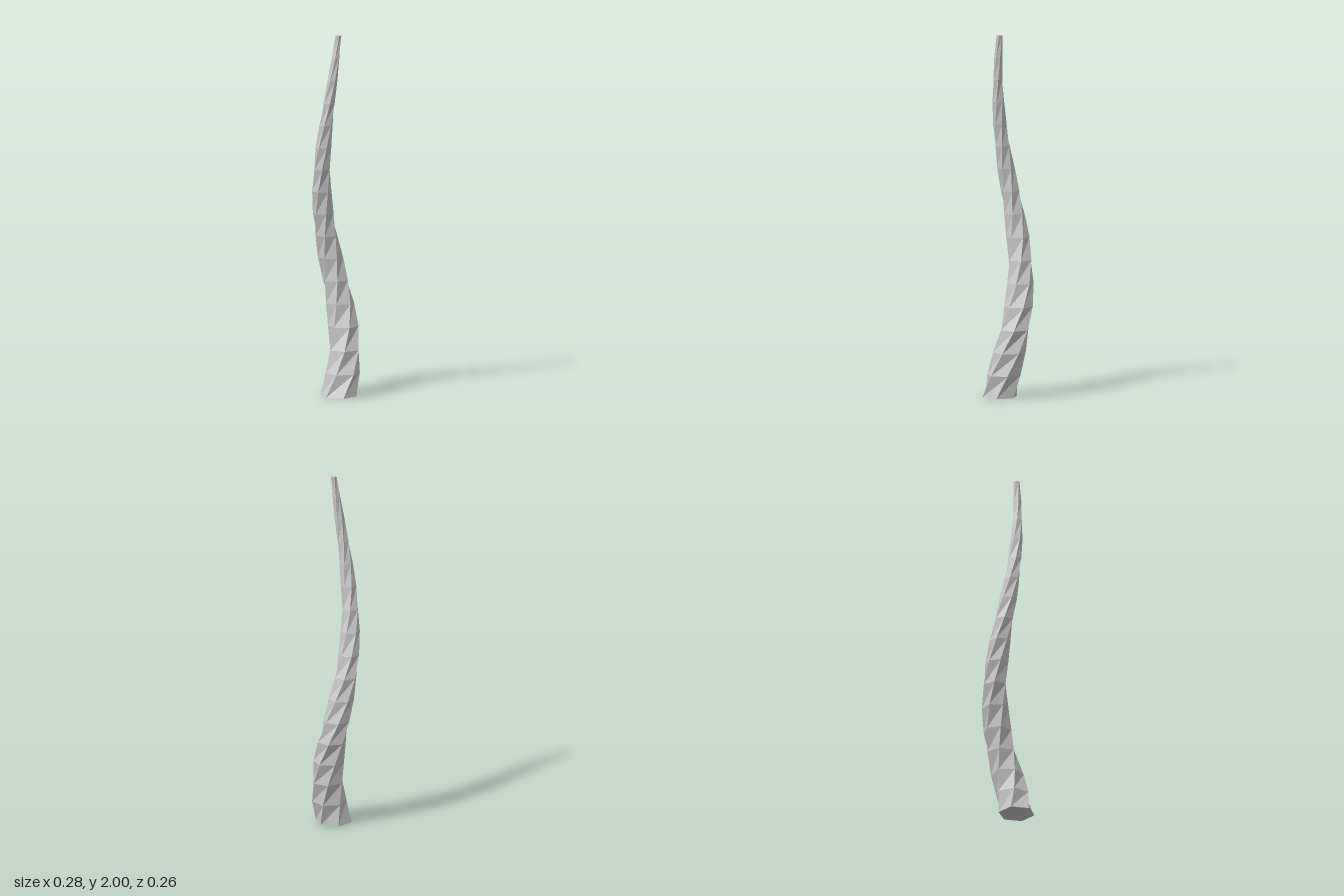
import * as THREE from 'three';

const HEIGHT = 2, SIDES = 6, RINGS = 16;
const BASE_RADIUS = 0.1, TIP_RADIUS = 0.017;
const AXIS_X = -0.01, AXIS_Z = 0.012, COIL_RADIUS = 0.062;

// Centre of the horn at height y: one coil, quicker near the base
function coilCentre(y) {
  const angle = THREE.MathUtils.degToRad(-17 + 242 * y - 31.2 * y * y);
  return new THREE.Vector3(
    AXIS_X + COIL_RADIUS * Math.cos(angle), y, AXIS_Z - COIL_RADIUS * Math.sin(angle));
}

export function createModel() {
  const group = new THREE.Group();
  group.name = 'spiralHorn';

  // Tapered hexagonal column, twisted one full turn and moved onto the coil
  const geometry = new THREE.CylinderGeometry(TIP_RADIUS, BASE_RADIUS, HEIGHT, SIDES, RINGS);
  geometry.translate(0, HEIGHT / 2, 0);
  const up = new THREE.Vector3(0, 1, 0);
  const position = geometry.attributes.position;
  const v = new THREE.Vector3();
  for (let i = 0; i < position.count; i++) {
    v.fromBufferAttribute(position, i);
    const y = v.y;
    v.y = 0;
    v.applyAxisAngle(up, (y / HEIGHT) * Math.PI * 2).add(coilCentre(y));
    position.setXYZ(i, v.x, v.y, v.z);
  }
  geometry.computeVertexNormals();

  const horn = new THREE.Mesh(
    geometry, new THREE.MeshStandardMaterial({ color: 0xcccccc, flatShading: true }));
  horn.name = 'horn';
  group.add(horn);
  return group;
}
